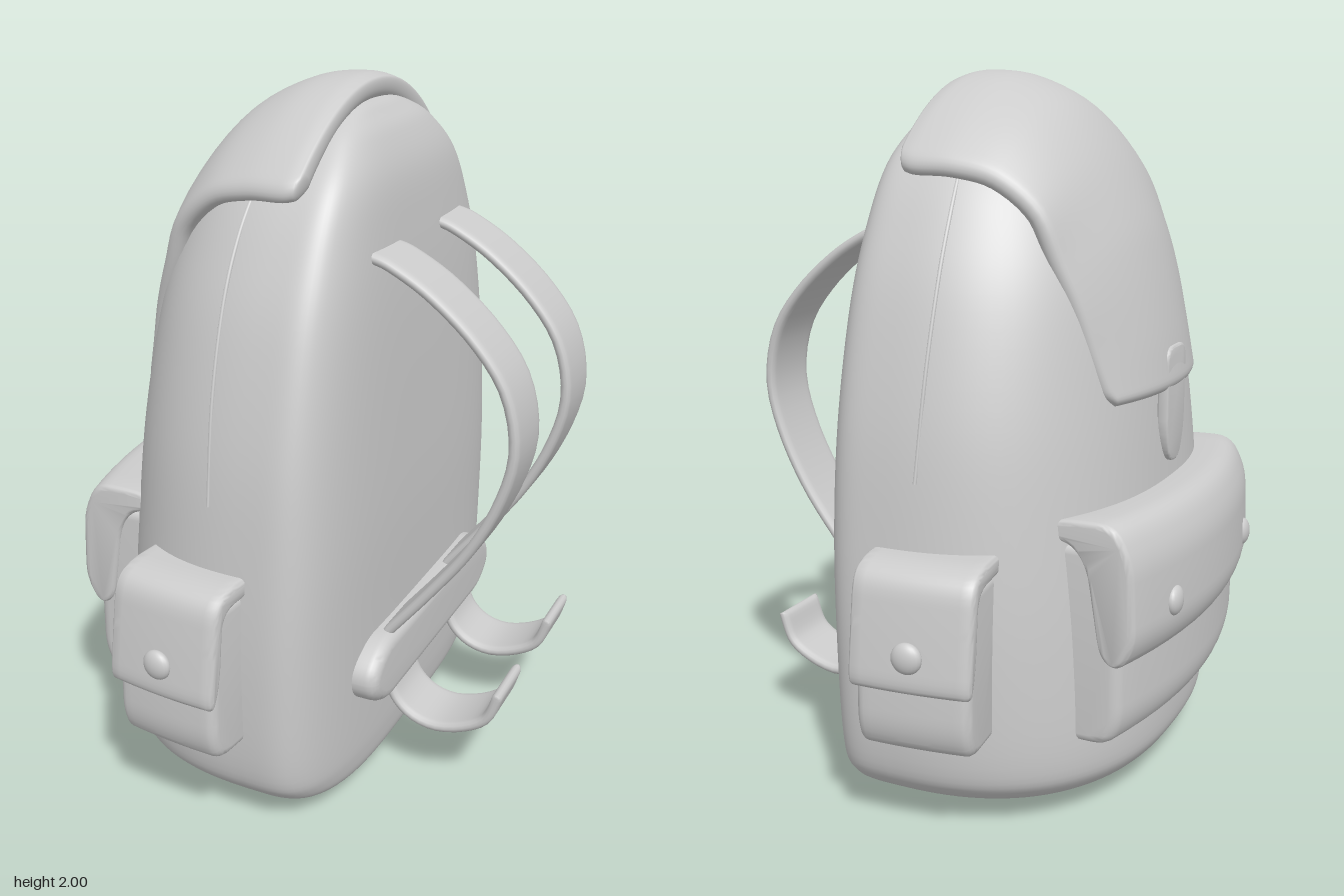
import * as THREE from 'three';
import { mergeVertices, mergeGeometries, toCreasedNormals } from 'three/addons/utils/BufferGeometryUtils.js';

const material = new THREE.MeshStandardMaterial({ color: 0xcccccc });
const V = (x, y, z = 0) => new THREE.Vector3(x, y, z);
const spline = (pts) => new THREE.CatmullRomCurve3(pts, false, 'catmullrom', 0.5);

function part(name, geometry, parent) {
  const mesh = new THREE.Mesh(geometry, material);
  mesh.name = name;
  parent.add(mesh);
  return mesh;
}

// Surface grid of f(u, v); samples crowd towards the borders when eased
function grid(f, nu, nv, eased = false, flip = false) {
  const pos = [], idx = [];
  const ease = (t) => (eased ? (1 - Math.cos(Math.PI * t)) / 2 : t);
  for (let i = 0; i <= nu; i++)
    for (let j = 0; j <= nv; j++) pos.push(...f(ease(i / nu), ease(j / nv)).toArray());
  for (let i = 0; i < nu; i++)
    for (let j = 0; j < nv; j++) {
      const a = i * (nv + 1) + j, b = a + nv + 1;
      if (flip) idx.push(a, a + 1, b, b, a + 1, b + 1);
      else idx.push(a, b, a + 1, b, b + 1, a + 1);
    }
  const g = new THREE.BufferGeometry();
  g.setAttribute('position', new THREE.Float32BufferAttribute(pos, 3));
  g.setIndex(idx);
  return g;
}

function smooth(g) {
  const m = mergeVertices(g);
  m.computeVertexNormals();
  return m;
}

// Thick padded sheet below f(u, v), with rounded borders
function sheet(f, thick, lenU, lenV, nu, nv) {
  const h = thick / 2, e = 0.002;
  const side = (sign) => (u, v) => {
    const u0 = Math.min(u, 1 - e), v0 = Math.min(v, 1 - e), p = f(u0, v0);
    const n = f(u0 + e, v0).sub(p).cross(f(u0, v0 + e).sub(p)).normalize();
    const d = Math.min(u * lenU, (1 - u) * lenU, v * lenV, (1 - v) * lenV);
    const round = Math.sqrt(Math.max(0, 1 - (1 - Math.min(1, d / h)) ** 2));
    return f(u, v).addScaledVector(n, -h + sign * h * round);
  };
  return smooth(mergeGeometries([grid(side(1), nu, nv, true), grid(side(-1), nu, nv, true, true)]));
}

// Bag cross-sections: height, front x, back x, half width
const sections = [
  [0, -0.05, 0.05, 0], [0.005, -0.18, 0.18, 0.25], [0.015, -0.35, 0.23, 0.42], [0.045, -0.46, 0.255, 0.57],
  [0.1, -0.53, 0.265, 0.67], [0.2, -0.55, 0.27, 0.715], [0.5, -0.535, 0.275, 0.725], [0.8, -0.51, 0.28, 0.71],
  [1.1, -0.48, 0.275, 0.675], [1.4, -0.435, 0.265, 0.6], [1.6, -0.375, 0.25, 0.515], [1.75, -0.3, 0.23, 0.42],
  [1.85, -0.21, 0.19, 0.31], [1.9, -0.13, 0.15, 0.22], [1.93, -0.05, 0.11, 0.11], [1.94, 0.03, 0.03, 0],
];
const heights = spline(sections.map((s) => V(s[0], 0)));
const extents = spline(sections.map((s) => V(s[1], s[2], s[3])));

function bagPoint(u, angle) {
  const y = heights.getPoint(u).x, { x: front, y: back, z: w } = extents.getPoint(u);
  const mid = THREE.MathUtils.lerp(front, back, 0.72);
  const c = Math.cos(angle), s = Math.sin(angle), n = c > 0 ? 4 : 2.45;
  const r = (Math.abs(c) ** n + Math.abs(s) ** n) ** (-1 / n);
  return V(mid + r * c * (c > 0 ? back - mid : mid - front), y, r * s * w);
}

// Closed shape with softened corners
function roundedShape(pts, r) {
  const shape = new THREE.Shape();
  const p = pts.map(([x, y]) => new THREE.Vector2(x, y));
  p.forEach((c, i) => {
    const toward = (q) => q.clone().sub(c).setLength(Math.min(r, q.distanceTo(c) * 0.48)).add(c);
    const a = toward(p[(i + p.length - 1) % p.length]), b = toward(p[(i + 1) % p.length]);
    if (i) shape.lineTo(a.x, a.y);
    else shape.moveTo(a.x, a.y);
    shape.quadraticCurveTo(c.x, c.y, b.x, b.y);
  });
  shape.closePath();
  return shape;
}

// Side profile (outward, up) swept across the width, bowed back at both ends
function padded(profile, width, bow, bevel = 0.025) {
  const g = new THREE.ExtrudeGeometry(roundedShape(profile, 0.05), {
    depth: width - 2 * bevel, steps: 14, curveSegments: 5,
    bevelSize: bevel, bevelThickness: bevel, bevelOffset: -bevel, bevelSegments: 4,
  });
  g.translate(0, 0, bevel - width / 2);
  const p = g.attributes.position;
  for (let i = 0; i < p.count; i++) p.setX(i, p.getX(i) - bow * p.getZ(i) ** 2);
  g.deleteAttribute('uv');
  return toCreasedNormals(g, 0.8);
}

function pocket(name, bag, cover, width, bow, knobs) {
  const g = new THREE.Group();
  g.name = name;
  part('pocketBag', padded(bag, width - 0.02, bow), g);
  part('pocketCover', padded(cover, width, bow, 0.015), g);
  for (const [x, y, z] of knobs) {
    const knob = part('snapButton', new THREE.SphereGeometry(0.042, 20, 14), g);
    knob.scale.x = 0.55;
    knob.position.set(x, y, z);
  }
  return g;
}

export function createModel() {
  const model = new THREE.Group();
  model.name = 'backpack';

  part('bag', smooth(grid((u, v) => bagPoint(u, v === 1 ? 0 : v * Math.PI * 2), 90, 120)), model);

  // Top flap: ridge line and side edge, blended across the width
  const ridge = spline([[0.125, 1.985], [0.06, 2], [-0.06, 1.985], [-0.2, 1.915], [-0.31, 1.79],
    [-0.4, 1.62], [-0.45, 1.48], [-0.495, 1.3], [-0.525, 1.13]].map(([x, y]) => V(x, y)));
  const edge = spline([[0.115, 1.765, 0.48], [0.06, 1.755, 0.495], [-0.05, 1.75, 0.485], [-0.17, 1.72, 0.465],
    [-0.28, 1.63, 0.44], [-0.33, 1.5, 0.42], [-0.375, 1.38, 0.395], [-0.41, 1.25, 0.37],
    [-0.45, 1.13, 0.34]].map((p) => V(...p)));
  const flap = (u, v) => {
    const end = 1 - Math.min(1, Math.min(u, 1 - u) / 0.05);
    const t = (2 * v - 1) * (1 - 0.09 * end ** 2.5);
    const a = ridge.getPoint(u), b = edge.getPoint(u), k = Math.abs(t) ** 2.1;
    return V(a.x + (b.x - a.x) * k, a.y + (b.y - a.y) * k, b.z * t);
  };
  part('topFlap', sheet(flap, 0.06, 1.3, 0.9, 60, 50), model);

  // Closing tongue below the flap
  const tongue = new THREE.ExtrudeGeometry(
    roundedShape([[-0.075, 1.25], [-0.075, 1.0], [-0.04, 0.915], [0.04, 0.915], [0.075, 1.0], [0.075, 1.25]], 0.05),
    { depth: 0.02, bevelSize: 0.006, bevelThickness: 0.006, bevelOffset: -0.006, bevelSegments: 2 });
  tongue.rotateY(-Math.PI / 2).translate(-0.488, 0, 0);
  part('tongue', toCreasedNormals(tongue, 0.8), model);

  // Front pocket
  const front = pocket('frontPocket',
    [[0.3, 0.25], [0.59, 0.25], [0.625, 0.32], [0.62, 0.55], [0.59, 0.8], [0.3, 0.8]],
    [[0.36, 0.85], [0.48, 0.87], [0.61, 0.87], [0.66, 0.77], [0.67, 0.55], [0.625, 0.47], [0.57, 0.5],
      [0.53, 0.75], [0.48, 0.81], [0.36, 0.81]],
    1.04, 0.3, [[0.63, 0.62, -0.32], [0.63, 0.62, 0.32]]);
  front.rotation.y = Math.PI;
  model.add(front);

  for (const s of [1, -1]) {
    const side = s > 0 ? 'left' : 'right';

    // Side pockets, turned slightly towards the front
    const pk = pocket(side + 'SidePocket',
      [[0, 0.29], [0.225, 0.29], [0.255, 0.36], [0.25, 0.5], [0.22, 0.74], [0, 0.74]],
      [[0, 0.79], [0.17, 0.79], [0.235, 0.76], [0.255, 0.65], [0.28, 0.48], [0.25, 0.465], [0.22, 0.55],
        [0.2, 0.73], [0, 0.74]],
      0.335, 0.3, [[0.27, 0.57, 0]]);
    pk.rotation.y = -s * (Math.PI / 2 + 0.1);
    pk.position.set(-0.09, 0, s * 0.595);
    model.add(pk);

    // Side seam
    const seam = spline([0, 0.25, 0.5, 0.75, 1].map((t) =>
      bagPoint((7.55 + 3.6 * t) / 15, s * (Math.PI / 2 + 0.2 + 0.13 * t))));
    part(side + 'Seam', new THREE.TubeGeometry(seam, 30, 0.006, 6), model);

    // Shoulder strap and its loose lower end
    const strap = (name, pts, len, n) => {
      const path = spline(pts.map(([x, y]) => V(x, y)));
      const f = (u, v) => path.getPoint(u).setZ(s * 0.23 + (v - 0.5) * 0.19);
      part(name, sheet(f, 0.03, len, 0.19, n, 14), model);
    };
    strap(side + 'ShoulderStrap', [[0.23, 1.56], [0.29, 1.54], [0.4, 1.475], [0.52, 1.37], [0.605, 1.25],
      [0.635, 1.1], [0.6, 0.95], [0.52, 0.79], [0.41, 0.64], [0.28, 0.48]], 1.4, 50);
    strap(side + 'StrapEnd', [[0.285, 0.34], [0.32, 0.26], [0.38, 0.21], [0.46, 0.195], [0.55, 0.22],
      [0.62, 0.27], [0.655, 0.36]], 0.55, 28);
  }

  // Lumbar pad on the back
  const pad = new THREE.ExtrudeGeometry(
    roundedShape([[-0.47, 0.35], [-0.38, 0.29], [0.38, 0.29], [0.47, 0.35], [0.47, 0.43], [0.38, 0.49],
      [-0.38, 0.49], [-0.47, 0.43]], 0.05),
    { depth: 0.06, bevelSize: 0.035, bevelThickness: 0.035, bevelOffset: -0.035, bevelSegments: 5, curveSegments: 6 });
  pad.rotateY(Math.PI / 2).translate(0.24, 0, 0);
  part('lumbarPad', toCreasedNormals(pad, 0.8), model);

  return model;
}
